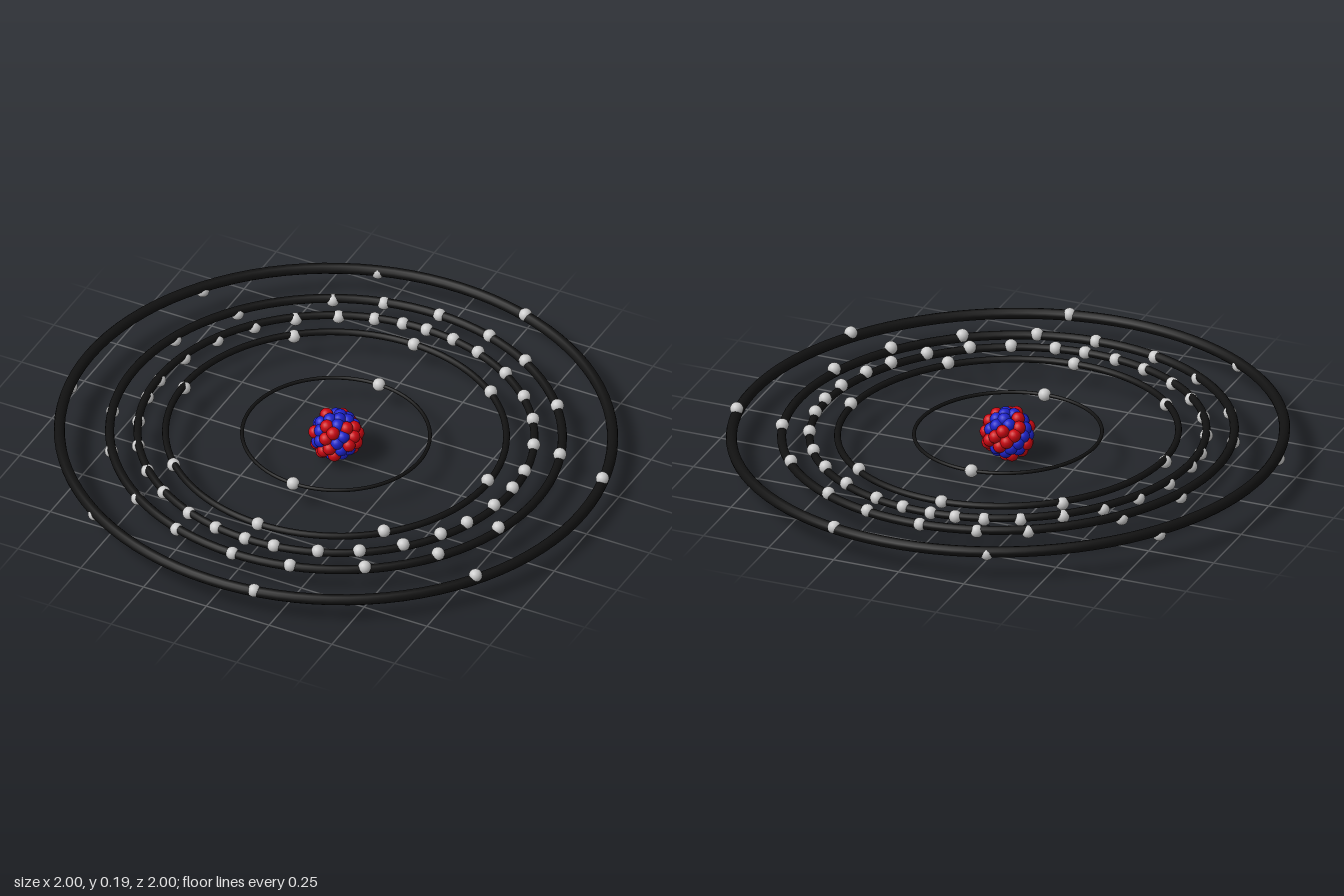
import * as THREE from 'three';

const CENTER_Y = 0.108;
const TILT = -0.0205;

// Orbit radius and electron angles (degrees clockwise from the back)
const orbits = [
  { radius: 0.333, angles: [0, 180] },
  { radius: 0.604, angles: [0, 38, 90, 136.5, 180, 225, 270, 318.5] },
  {
    radius: 0.703,
    angles: [0, 9, 18.5, 31.5, 44, 55.5, 68, 81, 90, 100, 111.5, 121, 133, 146, 158, 171,
      180, 190, 200.5, 213, 224.5, 237, 249, 261, 270, 283, 296, 308.5, 321, 333.5, 344, 352.5],
  },
  {
    radius: 0.802,
    angles: [0, 15.5, 29.5, 50.5, 71.5, 107, 126, 145.5, 164.5, 180, 197.5, 214, 235.5, 252.5, 287.5, 307, 332, 345],
  },
  { radius: 0.98, angles: [16, 78.5, 122.5, 170, 213.5, 259.5, 304, 341.5] },
];

function seededRandom(seed) {
  return () => {
    seed = (seed * 1664525 + 1013904223) % 4294967296;
    return seed / 4294967296;
  };
}

export function createModel() {
  const model = new THREE.Group();
  model.name = 'atom';

  const red = new THREE.MeshStandardMaterial({ color: 0xcc0611 });
  const blue = new THREE.MeshStandardMaterial({ color: 0x1c22cc });
  const black = new THREE.MeshStandardMaterial({ color: 0x111111 });
  const grey = new THREE.MeshStandardMaterial({ color: 0xcccccc });

  const add = (parent, name, geometry, material, x, y, z) => {
    const mesh = new THREE.Mesh(geometry, material);
    mesh.name = name;
    mesh.position.set(x, y, z);
    parent.add(mesh);
    return mesh;
  };

  // Nucleus: an outer and an inner shell of packed balls
  const nucleus = new THREE.Group();
  nucleus.name = 'nucleus';
  nucleus.position.set(0, CENTER_Y, -0.004);
  model.add(nucleus);
  const random = seededRandom(11);
  const ball = new THREE.SphereGeometry(0.024, 16, 12);
  const golden = Math.PI * (3 - Math.sqrt(5));
  for (const [count, shell] of [[58, 0.078], [18, 0.045]]) {
    for (let i = 0; i < count; i++) {
      const y = 1 - (2 * (i + 0.5)) / count;
      const ringRadius = Math.sqrt(1 - y * y);
      const isBlue = random() < 0.36;
      const r = isBlue ? shell - 0.008 : shell + 0.003 * (random() - 0.5);
      add(nucleus, isBlue ? 'neutron' : 'proton', ball, isBlue ? blue : red,
        r * ringRadius * Math.cos(golden * i), r * y, r * ringRadius * Math.sin(golden * i));
    }
  }

  // Orbits: slightly tilted rings, thicker as they grow, with level electrons
  const electronBall = new THREE.SphereGeometry(0.024, 16, 12);
  orbits.forEach(({ radius, angles }, index) => {
    const orbit = new THREE.Group();
    orbit.name = `orbit${index + 1}`;
    orbit.position.set(0, CENTER_Y, -0.004);
    model.add(orbit);

    const ringGeometry = new THREE.TorusGeometry(radius, radius * 0.02, 12, 96).rotateX(Math.PI / 2);
    add(orbit, 'orbitRing', ringGeometry, black, 0, 0, 0).rotation.z = TILT;

    for (const degrees of angles) {
      const a = THREE.MathUtils.degToRad(degrees);
      add(orbit, 'electron', electronBall, grey, radius * Math.sin(a), 0, -radius * Math.cos(a));
    }
  });

  return model;
}
